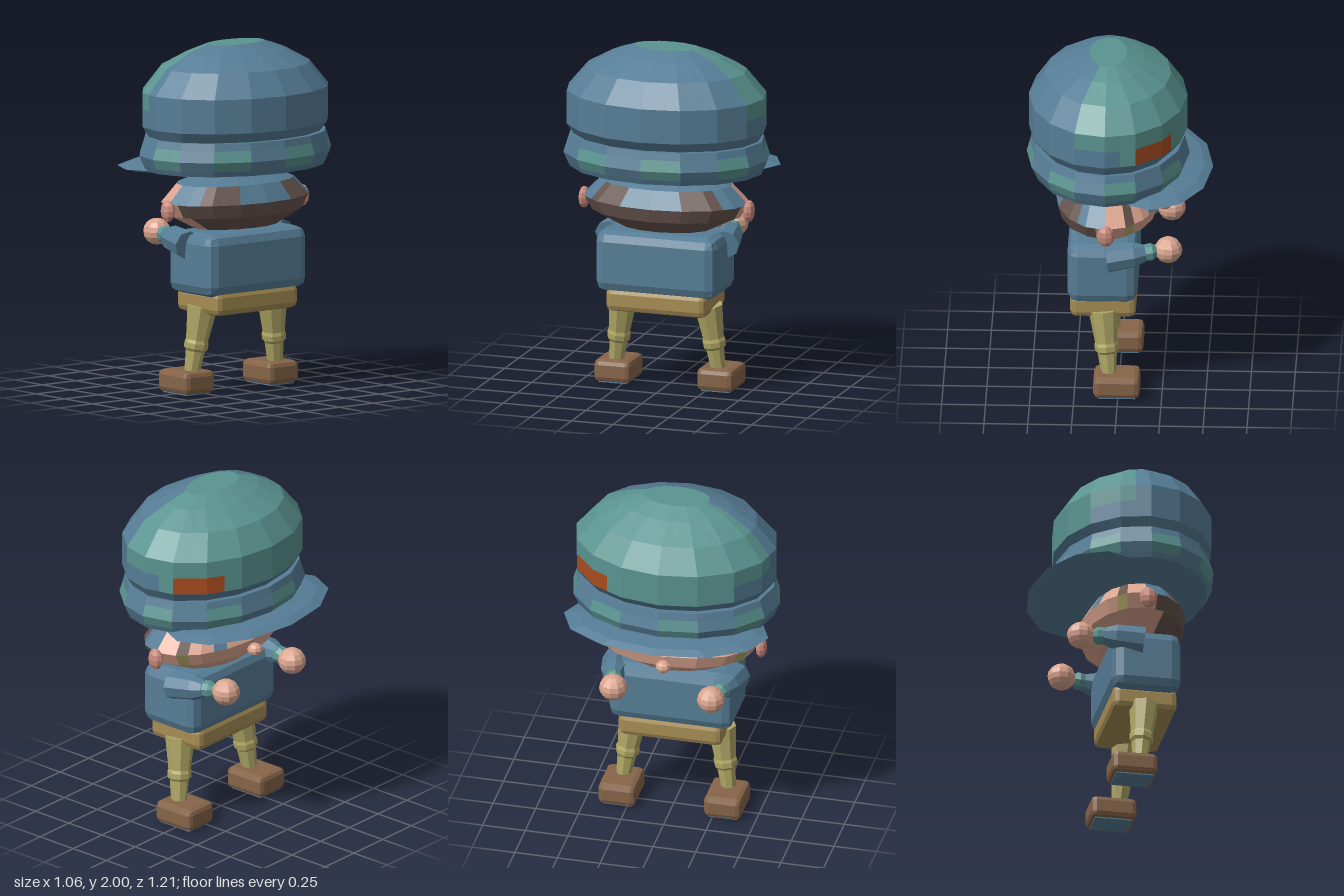
import * as THREE from 'three';
import { RoundedBoxGeometry } from 'three/addons/geometries/RoundedBoxGeometry.js';

const COLOURS = {
  blue: 0x567d96, teal: 0x5a9490, skin: 0xdba58f, ear: 0xc98a7c, hair: 0x66544e,
  ochre: 0xa68d54, olive: 0xb0a866, leather: 0x866448, orange: 0xa84c1e,
};
const NAMES = Object.keys(COLOURS);

export function createModel() {
  const model = new THREE.Group();
  model.name = 'cappedFigure';
  const mats = {};
  for (const n of NAMES) {
    mats[n] = new THREE.MeshStandardMaterial({ color: COLOURS[n] });
    mats[n].name = n;
  }

  // faceted mesh: split vertices so each face has its own normal
  function add(name, geo, material, x = 0, y = 0, z = 0) {
    const g = geo.index ? geo.toNonIndexed() : geo;
    g.computeVertexNormals();
    const mesh = new THREE.Mesh(g, material);
    mesh.name = name;
    mesh.position.set(x, y, z);
    model.add(mesh);
    return mesh;
  }

  // stacked 16-sided ellipses [y, rx, rz], bottom to top; each side is halved
  // so that colourOf(degrees, y) can paint half facets
  function loft(name, cx, rings, colourOf) {
    const sides = 16, n = 32;
    const point = (ring, i) => {
      const corner = (k) => {
        const a = (k / sides) * Math.PI * 2;
        return new THREE.Vector3(cx + ring[1] * Math.cos(a), ring[0], ring[2] * Math.sin(a));
      };
      const k = Math.floor(i / 2);
      return i % 2 ? corner(k).lerp(corner(k + 1), 0.5) : corner(k);
    };
    const buckets = NAMES.map(() => []);
    const tri = (colour, ...pts) => pts.forEach((p) => buckets[NAMES.indexOf(colour)].push(p.x, p.y, p.z));
    for (let i = 0; i < n; i++) {
      const deg = ((i + 0.5) * 360) / n;
      for (let r = 0; r < rings.length - 1; r++) {
        const lo = rings[r], hi = rings[r + 1];
        const c = colourOf(deg, (lo[0] + hi[0]) / 2);
        const a = point(lo, i), b = point(lo, i + 1), d = point(hi, i), e = point(hi, i + 1);
        tri(c, a, d, e);
        tri(c, a, e, b);
      }
      const bot = rings[0], top = rings[rings.length - 1];
      tri(colourOf(deg, bot[0]), new THREE.Vector3(cx, bot[0], 0), point(bot, i), point(bot, i + 1));
      tri(colourOf(deg, top[0]), new THREE.Vector3(cx, top[0], 0), point(top, i + 1), point(top, i));
    }
    const geo = new THREE.BufferGeometry();
    geo.setAttribute('position', new THREE.Float32BufferAttribute(buckets.flat(), 3));
    let start = 0;
    buckets.forEach((b, m) => {
      if (b.length) geo.addGroup(start, b.length / 3, m);
      start += b.length / 3;
    });
    return add(name, geo, NAMES.map((k) => mats[k]));
  }

  // limb: profile [radius, 0..1 along the way] swept from one point to another
  function limb(name, from, to, profile, material) {
    const a = new THREE.Vector3(...from), b = new THREE.Vector3(...to);
    const dir = b.clone().sub(a), len = dir.length();
    const pts = [[0, 0], ...profile.map(([r, t]) => [r, t * len]), [0, len]];
    const mesh = add(name, new THREE.LatheGeometry(pts.map((p) => new THREE.Vector2(...p)), 8), material, ...from);
    mesh.quaternion.setFromUnitVectors(new THREE.Vector3(0, 1, 0), dir.normalize());
  }

  function ball(name, material, pos, size, w = 10, h = 8) {
    return add(name, new THREE.SphereGeometry(1, w, h).scale(...size), material, ...pos);
  }

  // cap crown, with a lighter side and a small patch over the brim
  loft('capCrown', 0.067, [
    [1.48, 0.4, 0.55], [1.54, 0.453, 0.587], [1.64, 0.453, 0.587], [1.737, 0.453, 0.587],
    [1.875, 0.36, 0.47], [1.955, 0.21, 0.325], [2.0, 0.107, 0.195],
  ], (deg, y) => {
    if (y > 1.99) return 'teal';
    if (y < 1.54) return 'blue';
    if (y < 1.64) {
      if (deg > 213.75 && deg < 247.5) return 'orange';
      return deg > 135 && deg < 258.75 ? 'teal' : 'blue';
    }
    return deg > 101.25 && deg < 292.5 ? 'teal' : 'blue';
  });

  // cap band, patched on every other side
  loft('capBand', 0.067, [
    [1.29, 0.425, 0.57], [1.32, 0.44, 0.584], [1.375, 0.465, 0.607], [1.44, 0.447, 0.586], [1.482, 0.437, 0.573],
  ], (deg, y) => (y > 1.32 && y < 1.44 && Math.floor(deg / 22.5) % 2 ? 'teal' : 'blue'));

  ball('capBrim', mats.blue, [-0.187, 1.29, 0], [0.345, 0.042, 0.6], 12, 6);

  // head with hair behind and face towards -x
  loft('head', 0.067, [
    [0.928, 0.06, 0.1], [0.948, 0.18, 0.28], [1.03, 0.28, 0.445], [1.107, 0.3, 0.49],
    [1.207, 0.24, 0.39], [1.276, 0.1, 0.18], [1.3, 0.04, 0.06],
  ], (deg, y) => {
    const d = deg > 180 ? 360 - deg : deg;
    if (y > 1.207) return 'blue';
    if (y > 1.107) {
      const bands = [[22.5, 'blue'], [56.25, 'hair'], [90, 'blue'], [112.5, 'skin'], [123.75, 'hair'],
        [146.25, 'skin'], [157.5, 'blue'], [180, 'skin']];
      return bands.find(([limit]) => d < limit)[1];
    }
    if (y > 1.03) return d < 78.75 ? 'hair' : d > 112.5 && d < 123.75 ? 'olive' : 'skin';
    return d < 67.5 ? 'hair' : 'skin';
  });
  ball('nose', mats.skin, [-0.255, 1.055, 0], [0.045, 0.037, 0.045], 8, 6);

  // torso and trousers
  add('torso', new RoundedBoxGeometry(0.4, 0.36, 0.73, 1, 0.06), mats.blue, 0.09, 0.753, 0);
  add('trousers', new RoundedBoxGeometry(0.375, 0.14, 0.605, 1, 0.035), mats.ochre, 0.088, 0.533, 0);

  // mirrored parts
  for (const [side, s] of [['right', 1], ['left', -1]]) {
    ball(side + 'Ear', mats.ear, [0.065, 1.07, 0.497 * s], [0.05, 0.064, 0.033], 8, 6);
    limb(side + 'Sleeve', [0.07, 0.86, 0.352 * s], [-0.155, 0.888, 0.32 * s],
      [[0.083, 0], [0.076, 0.7], [0.05, 1]], mats.blue);
    limb(side + 'Cuff', [-0.15, 0.888, 0.32 * s], [-0.215, 0.892, 0.303 * s],
      [[0.048, 0], [0.052, 0.6], [0.035, 1]], mats.teal);
    ball(side + 'Hand', mats.skin, [-0.285, 0.895, 0.287 * s], [0.081, 0.077, 0.081]);
    limb(side + 'Leg', [0.052, 0.12, 0.308 * s], [0.086, 0.5, 0.258 * s],
      [[0.044, 0], [0.055, 0.33], [0.068, 0.37], [0.07, 0.45], [0.064, 0.5], [0.086, 1]], mats.olive);
    add(side + 'Shoe', new RoundedBoxGeometry(0.265, 0.13, 0.22, 1, 0.03), mats.leather, 0.007, 0.07, 0.31 * s);
    add(side + 'Sole', new THREE.BoxGeometry(0.215, 0.008, 0.17), mats.blue, 0.007, 0.004, 0.31 * s);
  }
  return model;
}
